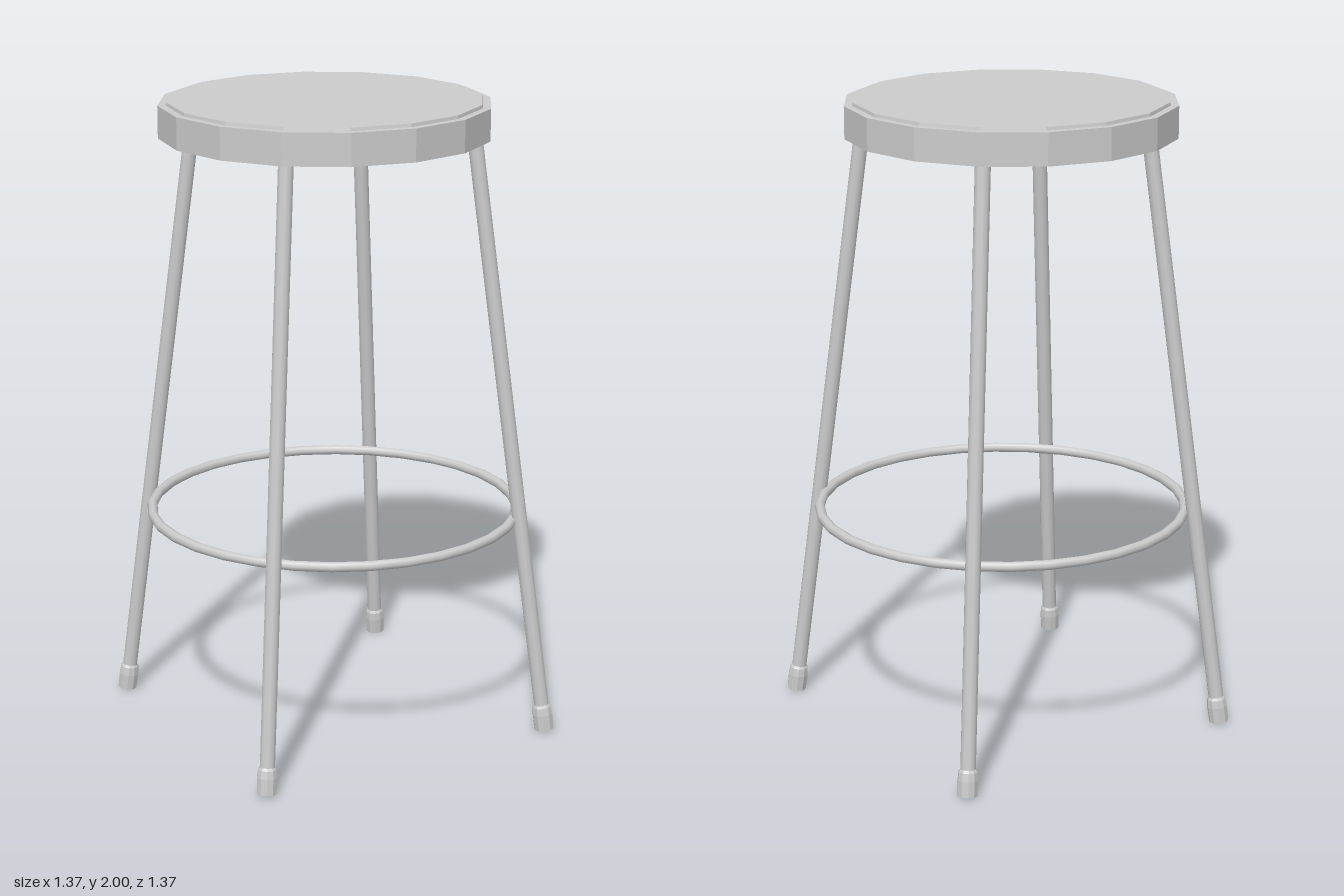
import * as THREE from 'three';

const smooth = new THREE.MeshStandardMaterial({ color: 0xcccccc });
const faceted = new THREE.MeshStandardMaterial({ color: 0xcccccc, flatShading: true });
const UP = new THREE.Vector3(0, 1, 0);

function lathe(name, profile, sides, material, phiStart = 0) {
  const points = profile.map(([r, y]) => new THREE.Vector2(r, y));
  const mesh = new THREE.Mesh(new THREE.LatheGeometry(points, sides, phiStart), material);
  mesh.name = name;
  return mesh;
}

// Straight round bar between two points
function bar(name, from, to, radius) {
  const dir = to.clone().sub(from);
  const mesh = new THREE.Mesh(new THREE.CylinderGeometry(radius, radius, dir.length(), 10), smooth);
  mesh.name = name;
  mesh.position.copy(from).add(to).multiplyScalar(0.5);
  mesh.quaternion.setFromUnitVectors(UP, dir.normalize());
  return mesh;
}

// Splayed leg, bent inward under the seat, with a rubber foot
function makeLeg(footX, footZ, angle) {
  const leg = new THREE.Group();
  leg.name = 'leg';
  const radius = 0.024;
  const out = new THREE.Vector3(Math.cos(angle), 0, Math.sin(angle));
  const foot = new THREE.Vector3(footX, 0.004, footZ);
  const elbow = foot.clone().addScaledVector(out, -0.258).setY(1.925);
  const inner = elbow.clone().addScaledVector(out, -0.21);
  const axis = elbow.clone().sub(foot).normalize();

  leg.add(bar('legShaft', foot.clone().addScaledVector(axis, 0.02), elbow, radius));
  leg.add(bar('legMount', elbow, inner, radius));

  const bend = new THREE.Mesh(new THREE.SphereGeometry(radius, 10, 8), smooth);
  bend.name = 'legBend';
  bend.position.copy(elbow);
  leg.add(bend);

  const cap = lathe('footCap',
    [[0, 0], [0.031, 0], [0.032, 0.05], [0.029, 0.075], [0.023, 0.085]], 10, faceted);
  cap.position.copy(foot);
  cap.quaternion.setFromUnitVectors(UP, axis);
  leg.add(cap);
  return leg;
}

export function createModel() {
  const stool = new THREE.Group();
  stool.name = 'stool';

  // Sixteen-sided seat pan, hollow below, with a slightly raised top panel
  const seat = lathe('seat', [
    [0, 1.95], [0.502, 1.95], [0.502, 1.89], [0.513, 1.89],
    [0.513, 1.99], [0.488, 1.99], [0.486, 2], [0, 2],
  ], 16, faceted, -0.036);
  seat.position.set(-0.025, 0, -0.003);
  stool.add(seat);

  // Four legs a quarter turn apart: foot x, foot z
  const feet = [[0.655, -0.245], [0.212, 0.655], [-0.66, 0.235], [-0.267, -0.658]];
  feet.forEach(([x, z], i) => {
    stool.add(makeLeg(x, z, (-20 + i * 90) * Math.PI / 180));
  });

  // Footrest ring
  const ring = new THREE.Mesh(new THREE.TorusGeometry(0.579, 0.016, 8, 32), smooth);
  ring.name = 'footrestRing';
  ring.rotation.x = Math.PI / 2;
  ring.position.set(0, 0.695, -0.015);
  stool.add(ring);

  return stool;
}
